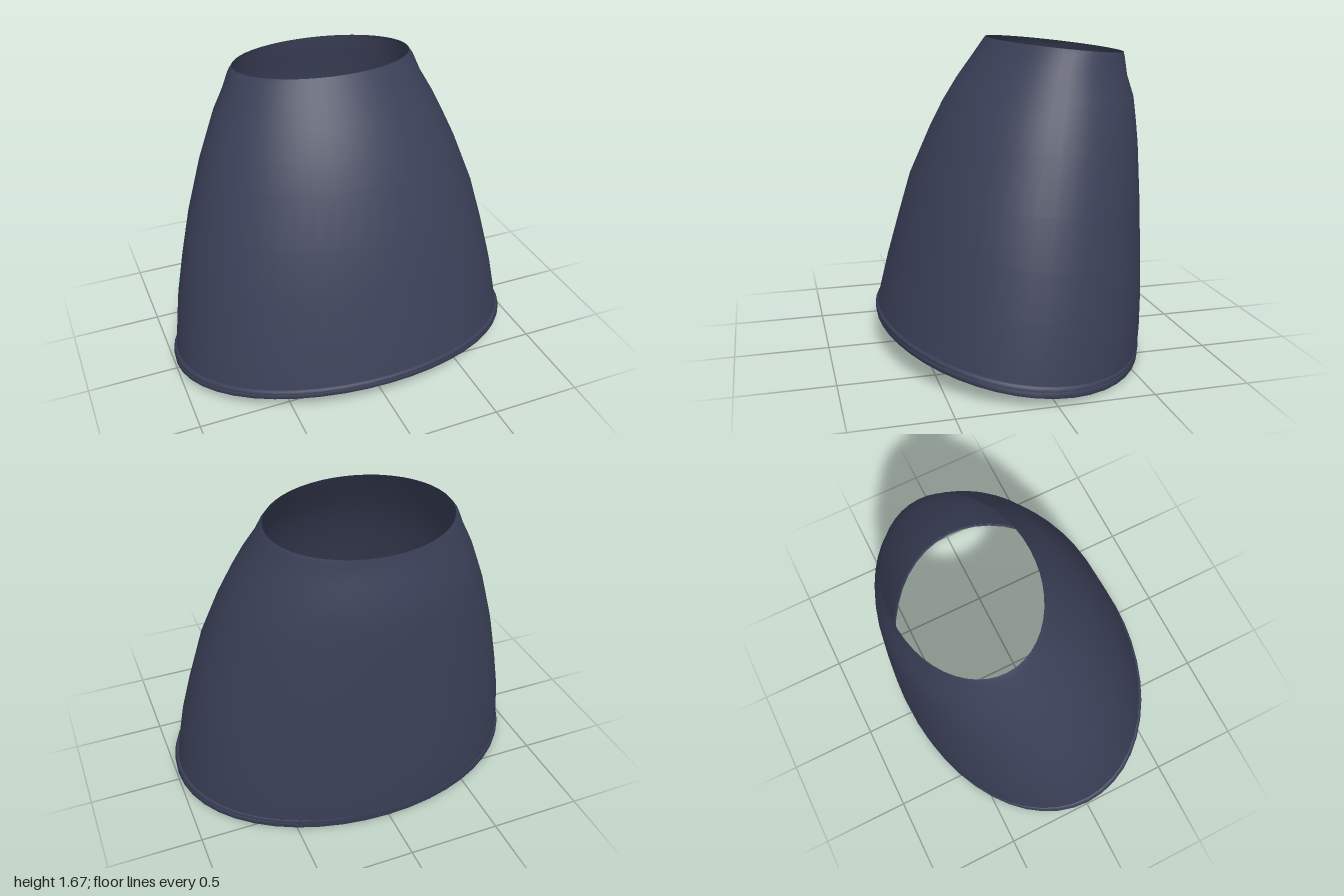
import * as THREE from 'three';

const SEGMENTS = 48;

// Lofts an open shell through tilted oval rings, listed from top to bottom.
// Ring: [front y, front z, back y, back z, half width, bow of the tilt, x offset]
function loft(rings) {
  const positions = [];
  const index = [];
  rings.forEach(([yF, zF, yB, zB, halfWidth, bow, dx = 0], row) => {
    for (let j = 0; j < SEGMENTS; j++) {
      const a = (j / SEGMENTS) * Math.PI * 2;
      const t = (1 + Math.cos(a)) / 2; // 0 at the back, 1 at the front
      positions.push(
        dx + halfWidth * Math.sin(a),
        yB + (yF - yB) * Math.pow(t, bow),
        zB + (zF - zB) * t
      );
      if (row < rings.length - 1) {
        const k = (j + 1) % SEGMENTS;
        const top = row * SEGMENTS;
        const low = top + SEGMENTS;
        index.push(top + j, low + j, top + k, top + k, low + j, low + k);
      }
    }
  });
  const geometry = new THREE.BufferGeometry();
  geometry.setAttribute('position', new THREE.Float32BufferAttribute(positions, 3));
  geometry.setIndex(index);
  geometry.computeVertexNormals();
  return geometry;
}

export function createModel() {
  const group = new THREE.Group();
  group.name = 'flaredShell';
  const fabric = new THREE.MeshStandardMaterial({ color: 0x3b4058, side: THREE.DoubleSide });
  fabric.name = 'navyFabric';

  const add = (name, rings) => {
    const mesh = new THREE.Mesh(loft(rings), fabric);
    mesh.name = name;
    group.add(mesh);
  };

  // Flared body with a slightly pinched neck and a straight back
  add('body', [
    [1.675, 0.09, 1.6, -0.635, 0.49, 1, 0.008],
    [1.645, 0.11, 1.57, -0.64, 0.513, 1, 0.005],
    [1.56, 0.17, 1.48, -0.655, 0.55, 1],
    [1.45, 0.25, 1.37, -0.69, 0.61, 1],
    [1.32, 0.33, 1.25, -0.702, 0.667, 1.1],
    [1.18, 0.4, 1.13, -0.71, 0.723, 1.1],
    [0.92, 0.515, 0.84, -0.718, 0.82, 1.2],
    [0.68, 0.585, 0.58, -0.722, 0.885, 1.3],
    [0.45, 0.65, 0.35, -0.725, 0.937, 1.5],
    [0.27, 0.695, 0.15, -0.72, 0.967, 1.8],
    [0.198, 0.712, 0.056, -0.712, 0.98, 2],
  ]);

  // Raised hem: an upper piping and a lower band with a groove between
  add('hemPiping', [
    [0.198, 0.712, 0.056, -0.712, 0.98, 2],
    [0.195, 0.723, 0.053, -0.713, 0.99, 2],
    [0.178, 0.726, 0.036, -0.711, 0.998, 2],
    [0.174, 0.717, 0.032, -0.709, 0.99, 2],
  ]);
  add('hemBand', [
    [0.174, 0.717, 0.032, -0.709, 0.99, 2],
    [0.17, 0.725, 0.028, -0.709, 1.0, 2],
    [0.148, 0.722, 0.002, -0.705, 0.998, 2],
    [0.146, 0.714, 0.0, -0.7, 0.99, 2],
  ]);

  return group;
}
